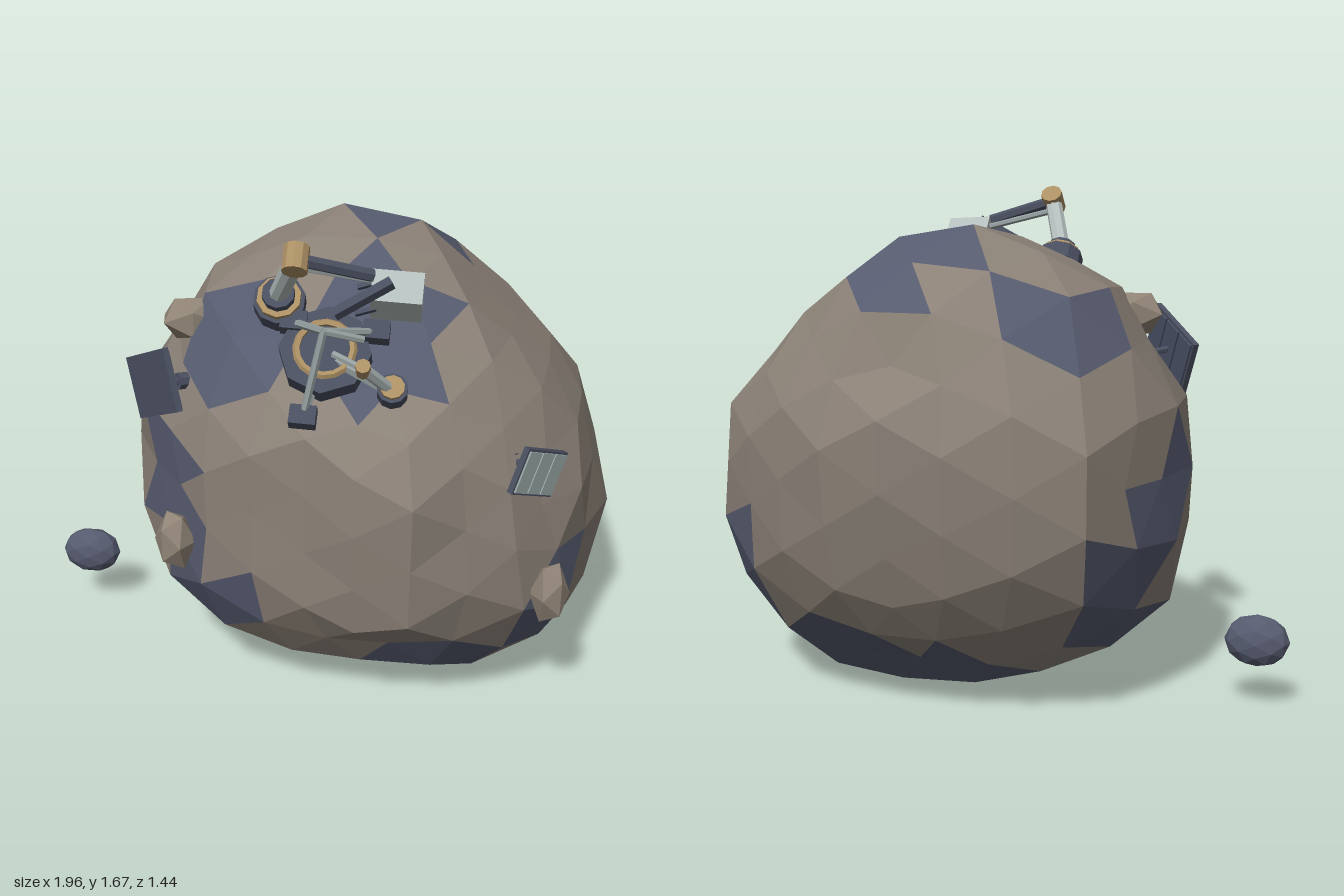
import * as THREE from 'three';

const V = (x, y, z) => new THREE.Vector3(x, y, z);
const mat = (name, color) => Object.assign(
  new THREE.MeshStandardMaterial({ color, flatShading: true }), { name });

const M = {
  rock: mat('brown rock', 0x8b8177),
  blue: mat('slate rock', 0x565b6f),
  boulder: mat('boulder rock', 0x8f8375),
  dark: mat('dark metal', 0x4a4f60),
  tan: mat('tan metal', 0xac9064),
  light: mat('pale metal', 0xb4bfbd),
  strut: mat('strut grey', 0x949e9e),
  cell: mat('pale cells', 0x98a8a6),
  navy: mat('navy cells', 0x4b5166),
};

// Outlines of the asteroid in three planes, as flat pairs
const C = V(0.16, 0.78, 0);
const XY = [0, 1.56, .2, 1.56, .36, 1.48, .55, 1.3, .71, 1.165, .84, 1, .91, .775, .99, .545, .9, .31, .75, .13,
  .5, .005, .26, .005, .03, .02, -.29, .12, -.55, .24, -.65, .44, -.67, .6, -.665, .81, -.65, 1.02, -.58, 1.12, -.42, 1.37, -.2, 1.48];
const ZY = [.1, 1.53, 0, 1.52, -.2, 1.58, -.54, 1.37, -.58, 1.17, -.72, 1, -.72, .805, -.64, .44, -.52, .27, -.41, .19,
  -.21, .02, 0, .005, .12, .01, .26, .07, .37, .15, .45, .28, .62, .44, .62, .615, .685, .81, .62, 1, .56, 1.1, .45, 1.2, .3, 1.37, .2, 1.46];
const XZ = [.17, -.73, .34, -.73, .59, -.58, .84, -.4, .99, -.18, .89, .02, .88, .22, .68, .49, .49, .58, .34, .675,
  .17, .64, -.05, .56, -.3, .53, -.48, .38, -.64, .13, -.67, -.03, -.56, -.35, -.45, -.57, -.32, -.64, 0, -.71];
// Hollows: point, depth, angular width
const hollows = [[.7, .97, .44, .08, .45], [.15, 1.35, .4, .05, .4], [-.42, 1.22, .2, .05, .4], [-.5, .75, .4, .045, .45]]
  .map(([x, y, z, depth, width]) => ({ d: V(x, y, z).sub(C).normalize(), depth, width }));

// Distance from (cx, cy) to the outline in direction (dx, dy)
function reach(poly, cx, cy, dx, dy) {
  const len = Math.hypot(dx, dy);
  if (len < 1e-5) return 0.7;
  dx /= len; dy /= len;
  let best = 0;
  for (let i = 0; i < poly.length; i += 2) {
    const j = (i + 2) % poly.length;
    const ax = poly[i] - cx, ay = poly[i + 1] - cy;
    const ex = poly[j] - cx - ax, ey = poly[j + 1] - cy - ay;
    const den = dx * ey - dy * ex;
    if (Math.abs(den) < 1e-9) continue;
    const t = (ax * ey - ay * ex) / den, s = (ax * dy - ay * dx) / den;
    if (t > 0 && s >= -1e-4 && s <= 1.0001) best = Math.max(best, t);
  }
  return best;
}

// Blend the three outlines, stay inside each of them, then press the hollows
function surface(dir) {
  const d = dir.clone().normalize();
  const off = [d.z, d.x, d.y];
  const r = [reach(XY, C.x, C.y, d.x, d.y), reach(ZY, C.z, C.y, d.z, d.y), reach(XZ, C.x, C.z, d.x, d.z)];
  const w = off.map(c => 1 / (c * c + 0.05));
  let R = 1.02 * (w[0] * r[0] + w[1] * r[1] + w[2] * r[2]) / (w[0] + w[1] + w[2]);
  R *= 1 + 0.013 * Math.sin(d.x * 13 + d.y * 9) * Math.cos(d.z * 12 - d.y * 7);
  off.forEach((c, i) => { R = Math.min(R, r[i] / Math.max(0.05, Math.sqrt(1 - Math.min(1, c * c)))); });
  for (const h of hollows) R -= h.depth * Math.exp(-((d.angleTo(h.d) / h.width) ** 2));
  return d.multiplyScalar(R).add(C);
}

// Centre and radius of each slate patch
const patches = [[.2, 1.36, .33, .25], [-.27, 1.28, .34, .17], [-.58, .85, .32, .17], [-.52, .63, .38, .16], [-.38, .42, .43, .17],
  [.78, .42, .3, .19], [.35, .15, .36, .19], [.7, .25, .1, .16], [.72, .3, -.22, .18], [.75, .46, -.38, .17],
  [.22, 1.46, -.33, .23], [-.31, 1.27, -.36, .19], [-.6, .65, -.28, .18], [-.65, .8, -.1, .15],
  [-.48, .53, -.42, .13], [-.45, .3, -.25, .2], [.45, .12, -.42, .17], [0, .07, -.32, .17]]
  .map(([x, y, z, r]) => ({ p: surface(V(x, y, z).sub(C)), r }));

function asteroid(root) {
  const pos = new THREE.IcosahedronGeometry(1, 3).attributes.position;
  // Sort the facets by colour
  const sets = { rock: [], blue: [] };
  for (let i = 0; i < pos.count; i += 3) {
    const t = [0, 1, 2].map(k => surface(new THREE.Vector3().fromBufferAttribute(pos, i + k)));
    const mid = t[0].clone().add(t[1]).add(t[2]).divideScalar(3);
    const key = patches.some(q => q.p.distanceTo(mid) < q.r) ? 'blue' : 'rock';
    t.forEach(p => sets[key].push(p.x, p.y, p.z));
  }
  for (const key in sets) {
    const part = new THREE.BufferGeometry();
    part.setAttribute('position', new THREE.Float32BufferAttribute(sets[key], 3));
    part.computeVertexNormals();
    add(root, key === 'rock' ? 'asteroid' : 'asteroidPatches', part, M[key]);
  }
}

function add(parent, name, geo, material, p) {
  const m = new THREE.Mesh(geo, material);
  m.name = name;
  if (p) m.position.copy(p);
  parent.add(m);
  return m;
}

const UP = V(0, 1, 0);
const N = V(0.05, 0.7, 0.7).normalize(); // slope the lander stands on
const along = (p, d) => p.clone().addScaledVector(N, d);

function rod(parent, name, a, b, r, material, sides = 6) {
  const m = add(parent, name, new THREE.CylinderGeometry(r, r, a.distanceTo(b), sides), material, a.clone().lerp(b, 0.5));
  m.quaternion.setFromUnitVectors(UP, b.clone().sub(a).normalize());
  return m;
}
// Short cylinder standing on the slope
const drum = (parent, name, p, h, r, material, sides = 10) =>
  rod(parent, name, along(p, -h / 2), along(p, h / 2), r, material, sides);

function box(parent, name, p, w, h, d, material) {
  const m = add(parent, name, new THREE.BoxGeometry(w, h, d), material, p);
  m.quaternion.setFromUnitVectors(UP, N);
  return m;
}

function boulder(root, name, at, sx, sy, sz, material, rot = 0, detail = 0) {
  const m = add(root, name, new THREE.IcosahedronGeometry(1, detail), material, at);
  m.scale.set(sx, sy, sz);
  m.rotation.y = rot;
}

function lander(root) {
  const g = new THREE.Group();
  g.name = 'lander';
  root.add(g);
  const c = V(0.05, 1.29, 0.43);
  drum(g, 'landerBody', c, 0.07, 0.14, M.dark, 8);
  const ring = add(g, 'landerRing', new THREE.TorusGeometry(0.085, 0.012, 5, 16), M.tan, along(c, 0.04));
  ring.quaternion.setFromUnitVectors(V(0, 0, 1), N);
  // Mast tripod and feet
  const apex = V(0.06, 1.41, 0.55);
  const feet = [V(0, 1.14, 0.56), V(0.2, 1.36, 0.41), V(-0.05, 1.37, 0.39)];
  feet.forEach(f => {
    rod(g, 'mastLeg', apex, f, 0.012, M.strut);
    box(g, 'foot', f, 0.08, 0.05, 0.06, M.dark);
    rod(g, 'footStrut', c, f, 0.014, M.strut);
  });
  rod(g, 'mastBar', apex, V(0.17, 1.37, 0.5), 0.012, M.strut);
  // Large arm
  const base = V(-0.1, 1.41, 0.34), elbow = V(-0.02, 1.62, 0.54), wrist = V(0.19, 1.55, 0.45);
  drum(g, 'turret', base, 0.06, 0.08, M.dark);
  drum(g, 'turretRing', along(base, 0.038), 0.02, 0.068, M.tan);
  drum(g, 'turretCap', along(base, 0.06), 0.03, 0.05, M.dark);
  rod(g, 'upperArm', along(base, 0.06), elbow, 0.03, M.light, 8);
  const pin = V(0, 0.028, -0.028); // elbow axis runs up the slope
  rod(g, 'elbow', elbow.clone().sub(pin), elbow.clone().add(pin), 0.038, M.tan, 10);
  rod(g, 'forearm', elbow, wrist, 0.02, M.dark);
  rod(g, 'forearmRail', along(elbow, -0.05), along(wrist, -0.03), 0.011, M.strut);
  const tool = V(0.26, 1.48, 0.42);
  box(g, 'toolBox', tool, 0.15, 0.13, 0.1, M.light);
  rod(g, 'toolBoom', V(0.09, 1.46, 0.54), V(0.25, 1.55, 0.5), 0.02, M.dark, 4);
  for (const s of [-0.03, 0, 0.03]) // gripper fingers
    rod(g, 'finger', tool.clone().add(V(-0.12, s - 0.02, -s)), tool.clone().add(V(-0.06, s, -s)), 0.01, M.dark, 4);
  // Small arm
  const hub = V(0.265, 1.25, 0.585), joint = V(0.19, 1.36, 0.69);
  rod(g, 'smallArmMount', c, hub, 0.02, M.strut);
  drum(g, 'smallArmBase', hub, 0.05, 0.046, M.dark);
  drum(g, 'smallArmRing', along(hub, 0.03), 0.015, 0.036, M.tan);
  rod(g, 'smallArm', hub, joint, 0.018, M.light);
  drum(g, 'smallArmJoint', joint, 0.05, 0.022, M.tan, 8);
  rod(g, 'smallArmTip', joint, V(0.1, 1.38, 0.64), 0.011, M.strut);
}

// Panel spanned by the width and height directions, on a post
function panel(root, name, center, w, h, cellMat, postEnd) {
  const g = new THREE.Group();
  g.name = name;
  const x = w.clone().normalize(), z = w.clone().cross(h).normalize(), y = z.clone().cross(x);
  g.quaternion.setFromRotationMatrix(new THREE.Matrix4().makeBasis(x, y, z));
  g.position.copy(center);
  const W = w.length(), H = h.length();
  add(g, 'panelFrame', new THREE.BoxGeometry(W, H, 0.02), M.dark);
  for (const i of [-1, 0, 1])
    add(g, 'panelCell', new THREE.BoxGeometry(W * 0.29, H * 0.9, 0.008), cellMat, V(i * W * 0.32, 0, 0.012));
  root.add(g);
  rod(root, name + 'Post', center, postEnd, 0.012, M.dark);
  rod(root, name + 'Hub', center.clone().lerp(postEnd, 0.55), postEnd, 0.028, M.dark, 8);
}

export function createModel() {
  const root = new THREE.Group();
  root.name = 'asteroidOutpost';
  asteroid(root);
  lander(root);
  panel(root, 'rightPanel', V(-0.505, 1.12, 0.34), V(-0.17, -0.12, -0.19), V(-0.04, 0.19, -0.05), M.navy, V(-0.39, 1.1, 0.245));
  panel(root, 'leftPanel', V(0.7, 0.94, 0.435), V(0.122, -0.075, -0.14), V(0.05, 0.135, -0.04), M.cell, V(0.58, 0.94, 0.32));
  boulder(root, 'frontBoulder', V(-0.445, 0.595, 0.4), 0.07, 0.11, 0.07, M.boulder, -0.6);
  boulder(root, 'sideBoulder', V(0.765, 0.5, 0.41), 0.065, 0.115, 0.065, M.boulder, 0.7);
  boulder(root, 'upperBoulder', V(-0.42, 1.26, 0.12), 0.11, 0.08, 0.08, M.boulder, 0.2);
  boulder(root, 'moonlet', V(-0.89, 0.235, -0.085), 0.106, 0.087, 0.062, M.blue, 0, 1);
  return root;
}
